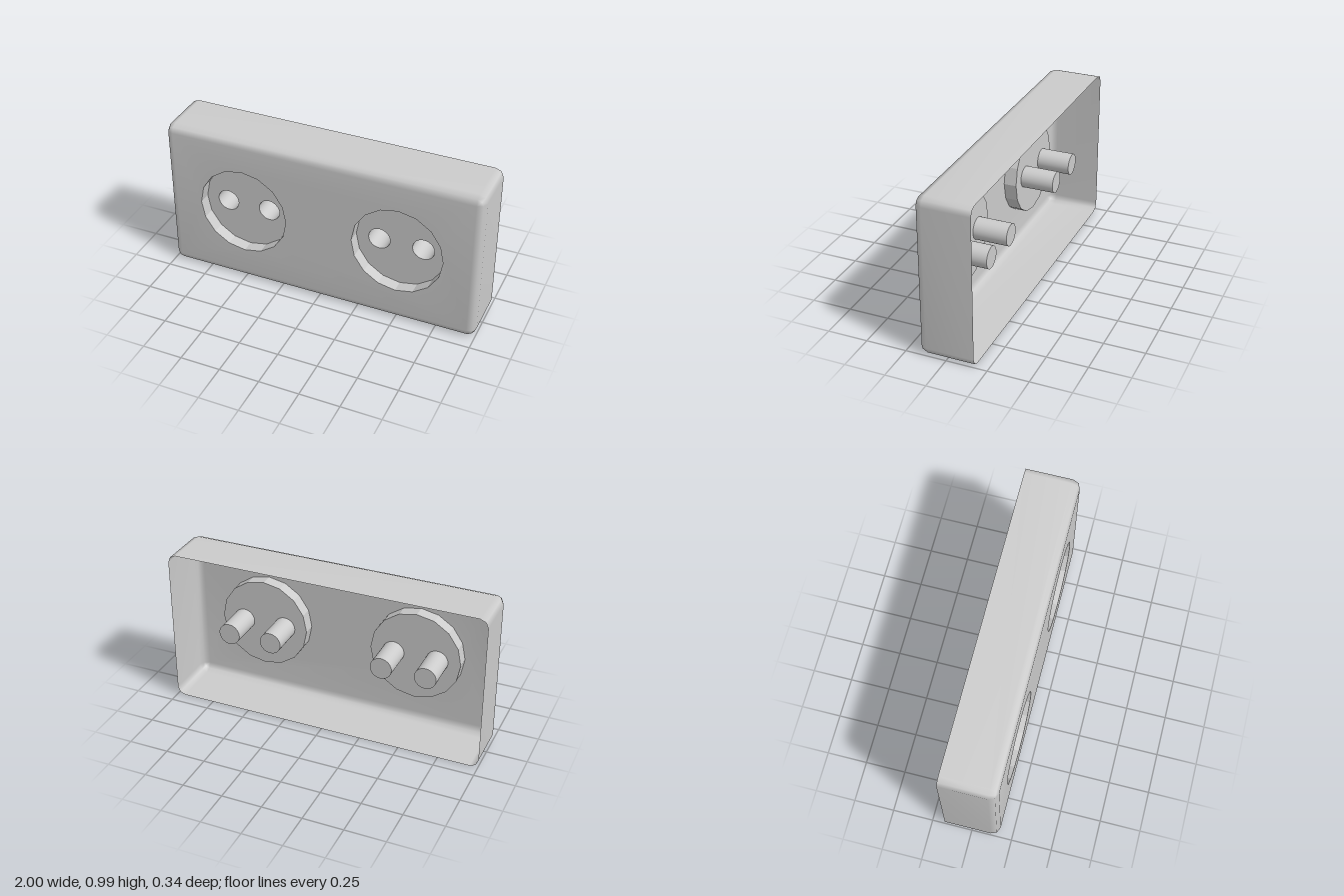
import * as THREE from 'three';
import { mergeGeometries, mergeVertices } from 'three/addons/utils/BufferGeometryUtils.js';

const W = 1, H = 0.495, FRONT = 0.17, BACK = -0.17; // half width, half height, z limits
const R = 0.05;                                     // edge rounding
const SOCKET_X = 0.497, SOCKET_R = 0.285, RECESS = 0.08;
const PIN_X = 0.138, PIN_R = 0.068, PIN_LENGTH = 0.21;

const smooth = new THREE.MeshStandardMaterial({ color: 0xcccccc, side: THREE.DoubleSide });
const faceted = new THREE.MeshStandardMaterial({ color: 0xcccccc, side: THREE.DoubleSide, flatShading: true });

function circlePoints(x, y, r, n) {
  return Array.from({ length: n }, (_, i) => {
    const a = (i / n) * Math.PI * 2;
    return new THREE.Vector2(x + r * Math.cos(a), y + r * Math.sin(a));
  });
}

function mesh(name, geometry, material, z = 0) {
  const m = new THREE.Mesh(geometry, material);
  m.name = name;
  m.position.z = z;
  return m;
}

// Open cylinder along z, from z = 0 back to z = -length
function tube(r, length, sides) {
  return new THREE.CylinderGeometry(r, r, length, sides, 1, true)
    .rotateX(Math.PI / 2).translate(0, 0, -length / 2);
}

// Rounded-rectangle ring, shrunk by an inset
function ring(inset, z) {
  const points = [];
  [[1, 1], [-1, 1], [-1, -1], [1, -1]].forEach(([sx, sy], corner) => {
    for (let i = 0; i <= 2; i++) {
      const a = (corner + i / 2) * Math.PI / 2;
      points.push(sx * (W - R) + (R - inset) * Math.cos(a), sy * (H - R) + (R - inset) * Math.sin(a), z);
    }
  });
  return points;
}

// Cover: walls open at the back, rounded front edge, front face with socket openings
function coverGeometry() {
  const rings = [ring(0, BACK), ring(0, FRONT - R)];
  for (const a of [Math.PI / 4, Math.PI / 2]) {
    rings.push(ring(R * (1 - Math.cos(a)), FRONT - R + R * Math.sin(a)));
  }
  const n = rings[0].length / 3, index = [];
  for (let j = 0; j < rings.length - 1; j++) {
    for (let i = 0; i < n; i++) {
      const a = j * n + i, b = j * n + (i + 1) % n;
      index.push(a, b, b + n, a, b + n, a + n);
    }
  }
  const walls = new THREE.BufferGeometry();
  walls.setAttribute('position', new THREE.Float32BufferAttribute(rings.flat(), 3));
  walls.setIndex(index);

  const w = W - R, h = H - R;
  const outline = new THREE.Shape([[-w, -h], [w, -h], [w, h], [-w, h]].map(p => new THREE.Vector2(...p)));
  for (const s of [-1, 1]) outline.holes.push(new THREE.Path(circlePoints(s * SOCKET_X, 0, SOCKET_R, 16)));
  const face = new THREE.ShapeGeometry(outline).translate(0, 0, FRONT);
  face.deleteAttribute('uv');
  face.deleteAttribute('normal');

  const cover = mergeVertices(mergeGeometries([walls, face]), 1e-4);
  cover.computeVertexNormals();
  return cover;
}

// Socket: round recess whose floor has two blind pin holes
function createSocket() {
  const socket = new THREE.Group();
  socket.add(mesh('recessWall', tube(SOCKET_R, RECESS, 16), faceted));

  const floor = new THREE.Shape(circlePoints(0, 0, SOCKET_R, 16));
  for (const s of [-1, 1]) {
    floor.holes.push(new THREE.Path(circlePoints(s * PIN_X, 0, PIN_R, 32)));
    const hole = new THREE.Group();
    hole.name = s > 0 ? 'leftPinHole' : 'rightPinHole';
    hole.position.set(s * PIN_X, 0, -RECESS);
    hole.add(
      mesh('pinHoleWall', tube(PIN_R, PIN_LENGTH, 32), smooth),
      mesh('pinHoleEnd', new THREE.CircleGeometry(PIN_R, 32), smooth, -PIN_LENGTH),
    );
    socket.add(hole);
  }
  socket.add(mesh('recessFloor', new THREE.ShapeGeometry(floor), smooth, -RECESS));
  return socket;
}

export function createModel() {
  const model = new THREE.Group();
  model.name = 'doubleWallSocket';

  const cover = mesh('cover', coverGeometry(), smooth);
  cover.position.y = H;
  model.add(cover);

  for (const s of [-1, 1]) {
    const socket = createSocket();
    socket.name = s > 0 ? 'leftSocket' : 'rightSocket';
    socket.position.set(s * SOCKET_X, H, FRONT);
    model.add(socket);
  }
  return model;
}
